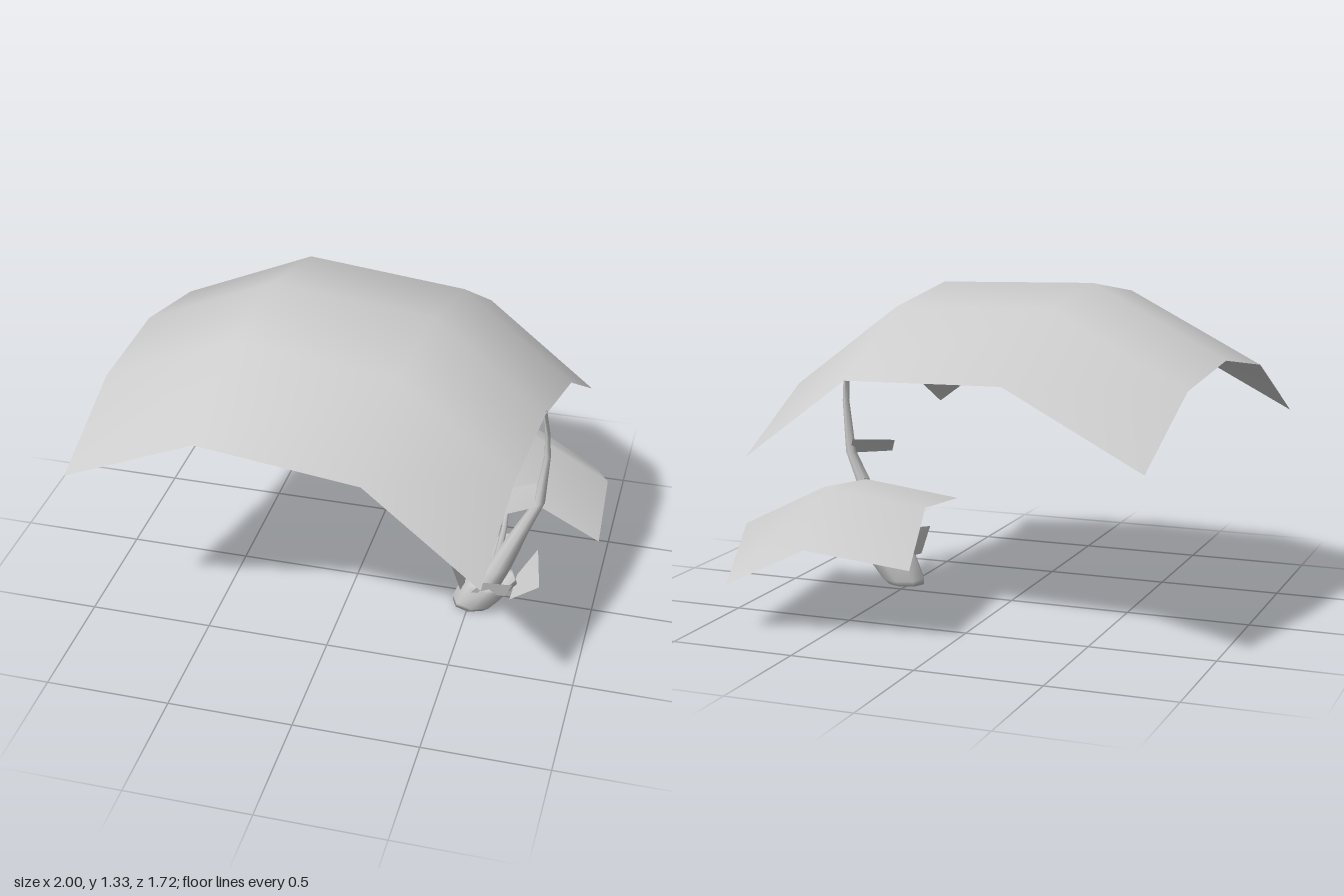
import * as THREE from 'three';

const leafGrey = new THREE.MeshStandardMaterial({ color: 0xcccccc, side: THREE.DoubleSide });
leafGrey.name = 'leafGrey';

function meshFrom(name, points, index) {
  const g = new THREE.BufferGeometry();
  g.setAttribute('position', new THREE.Float32BufferAttribute(points.flat(), 3));
  g.setIndex(index);
  g.computeVertexNormals();
  const m = new THREE.Mesh(g, leafGrey);
  m.name = name;
  return m;
}

// Sheet through rows of points; wrap joins each row into a ring
function sheet(name, rows, wrap = false) {
  const n = rows[0].length, index = [];
  for (let i = 0; i < rows.length - 1; i++) {
    for (let j = 0; j < (wrap ? n : n - 1); j++) {
      const k = (j + 1) % n;
      const a = i * n + j, b = i * n + k, c = a + n, d = b + n;
      index.push(a, c, b, b, c, d);
    }
  }
  return meshFrom(name, rows.flat(), index);
}

// Body through level elliptical rings [x, y, z, rx, rz]
function rings(name, sections, sides) {
  const rows = sections.map(([x, y, z, rx, rz]) =>
    Array.from({ length: sides }, (_, j) => {
      const a = (j / sides) * Math.PI * 2;
      return [x + rx * Math.cos(a), y, z + rz * Math.sin(a)];
    }));
  return sheet(name, rows, true);
}

const quad = (name, a, b, c, d) => sheet(name, [[a, b], [d, c]]);

export function createModel() {
  const group = new THREE.Group();
  group.name = 'broadLeafPlant';

  // Large drooping leaf: rows run from the stem edge to the far edge
  const across = [0, 0.274, 0.667, 1];
  const crest = [0.97, 1.305, 1.33, 1.06];
  const droop = [0.305, 0.065, 0, 0.065, 0.305];
  group.add(sheet('largeLeaf', across.map((t, i) => droop.map((d, j) => {
    const s = j / 4;
    return [0.68 - 1.68 * t + 0.18 * s, crest[i] - d, 0.86 - 0.2 * t - 1.52 * s];
  }))));

  // Small leaf
  group.add(sheet('smallLeaf', [
    [[1.0, 0.305, -0.06], [0.98, 0.345, -0.45], [0.88, 0.185, -0.805]],
    [[0.61, 0.485, -0.09], [0.61, 0.53, -0.48], [0.52, 0.365, -0.845]],
    [[0.24, 0.415, 0.0], [0.22, 0.455, -0.38], [0.13, 0.295, -0.74]],
  ]));

  // Stems
  group.add(rings('largeStem', [
    [0.56, 0.1, 0.09, 0.06, 0.055],
    [0.62, 0.22, 0.09, 0.05, 0.048],
    [0.7, 0.41, 0.09, 0.033, 0.034],
    [0.768, 0.56, 0.09, 0.022, 0.023],
    [0.788, 0.78, 0.09, 0.013, 0.018],
    [0.783, 0.88, 0.09, 0.01, 0.022],
    [0.77, 0.972, 0.09, 0.003, 0.03],
  ], 8));
  group.add(rings('smallStem', [
    [0.58, 0.12, 0.02, 0.022, 0.02],
    [0.6, 0.22, 0.0, 0.016, 0.015],
    [0.615, 0.33, -0.015, 0.012, 0.011],
    [0.618, 0.42, -0.055, 0.01, 0.01],
    [0.612, 0.488, -0.09, 0.012, 0.008],
  ], 6));

  // Bulb at the foot
  group.add(rings('bulb', [
    [0.51, 0.0, 0.08, 0.001, 0.001],
    [0.51, 0.008, 0.08, 0.08, 0.072],
    [0.525, 0.03, 0.08, 0.095, 0.082],
    [0.582, 0.13, 0.075, 0.112, 0.1],
    [0.595, 0.15, 0.075, 0.095, 0.09],
  ], 8));

  // Sheath flaps opening around the bulb
  const flaps = {
    leftFlap: [[0.68, 0.11, 0.16], [0.68, 0.11, -0.015], [0.755, 0.225, -0.055], [0.8, 0.205, 0.175]],
    rightFlap: [[0.475, 0.12, 0.16], [0.505, 0.13, 0.0], [0.515, 0.258, 0.01], [0.44, 0.24, 0.175]],
    frontFlap: [[0.52, 0.12, 0.165], [0.66, 0.12, 0.155], [0.69, 0.19, 0.17], [0.57, 0.185, 0.175]],
    backFlap: [[0.5, 0.12, 0.0], [0.65, 0.12, -0.015], [0.64, 0.255, -0.1], [0.5, 0.255, -0.05]],
  };
  for (const [name, corners] of Object.entries(flaps)) group.add(quad(name, ...corners));

  // Bracts on the stems
  group.add(quad('upperBract', [0.59, 0.61, 0.15], [0.74, 0.62, 0.05], [0.78, 0.55, 0.1], [0.63, 0.55, 0.21]));
  group.add(quad('lowerBract', [0.45, 0.36, 0.045], [0.59, 0.367, -0.015], [0.6, 0.295, -0.01], [0.5, 0.295, 0.045]));

  return group;
}
